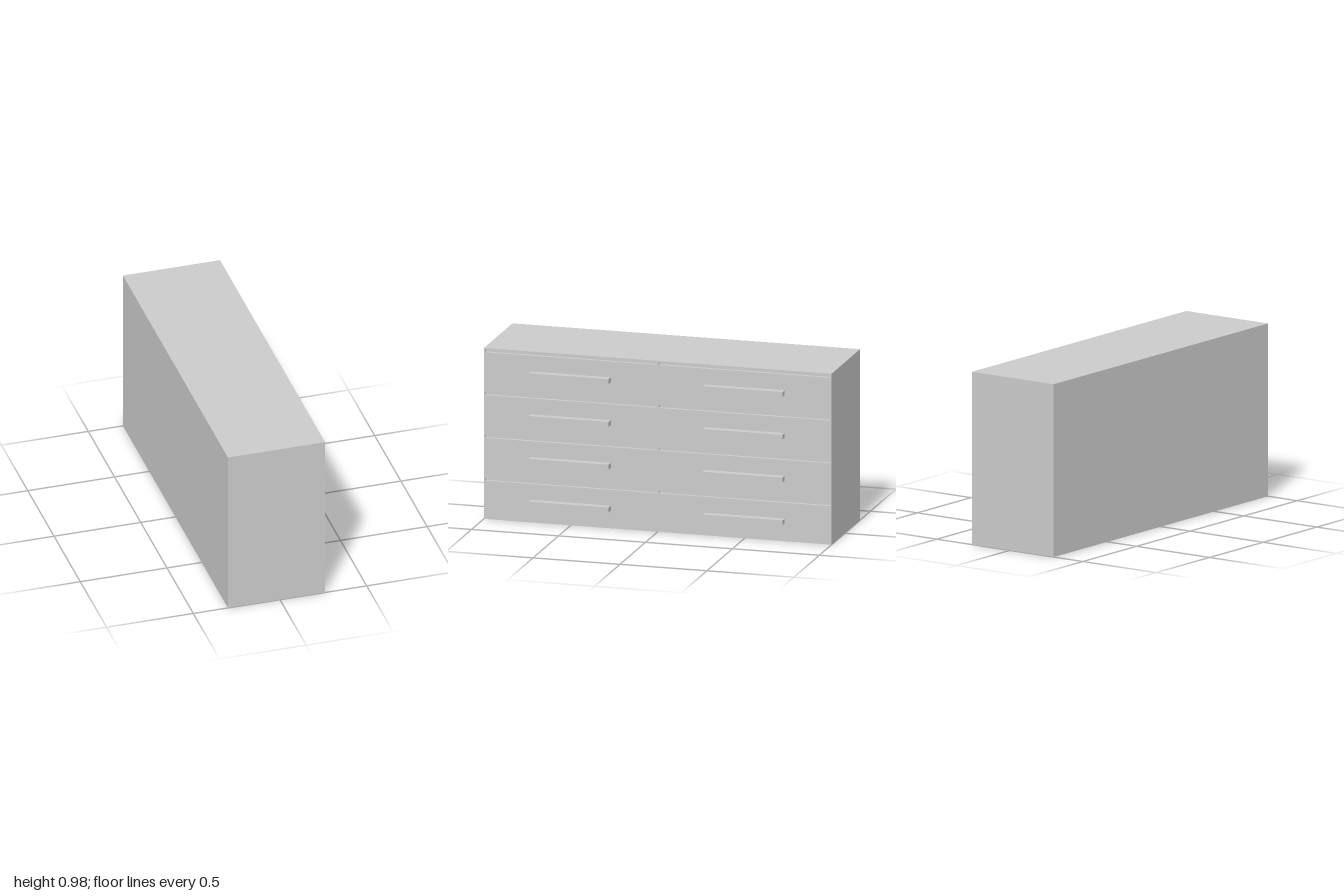
import * as THREE from 'three';

const H = 0.975, FRONT = 0.26, BACK = -0.3, GROOVE = 0.02;
const ROW = 0.244;                       // drawer pitch
const material = new THREE.MeshStandardMaterial({ color: 0xcccccc, flatShading: true });

function box(name, x0, x1, y0, y1, z0, z1) {
  const mesh = new THREE.Mesh(new THREE.BoxGeometry(x1 - x0, y1 - y0, z1 - z0), material);
  mesh.position.set((x0 + x1) / 2, (y0 + y1) / 2, (z0 + z1) / 2);
  mesh.name = name;
  return mesh;
}

// Closed outline with small chamfered corners
function slot(x0, x1, y0, y1, c) {
  return new THREE.Path([
    [x0 + c, y0], [x1 - c, y0], [x1, y0 + c], [x1, y1 - c],
    [x1 - c, y1], [x0 + c, y1], [x0, y1 - c], [x0, y0 + c],
  ].map(([x, y]) => new THREE.Vector2(x, y)));
}

// Front slab with a finger groove above every drawer
function drawerFronts() {
  const shape = new THREE.Shape([
    new THREE.Vector2(-1, 0), new THREE.Vector2(1, 0),
    new THREE.Vector2(1, H), new THREE.Vector2(-1, H),
  ]);
  for (let row = 0; row < 4; row++) {
    const y = 0.219 + row * ROW;
    shape.holes.push(slot(-0.993, -0.007, y, y + 0.016, 0.004));
    shape.holes.push(slot(0.007, 0.993, y, y + 0.016, 0.004));
  }
  const geometry = new THREE.ExtrudeGeometry(shape, { depth: GROOVE, bevelEnabled: false });
  geometry.rotateY(Math.PI / 2);
  const mesh = new THREE.Mesh(geometry, material);
  mesh.position.x = FRONT - GROOVE;
  mesh.name = 'drawerFronts';
  return mesh;
}

// Pull with a hollow underside: top plate, front lip and two end caps
function handle(y, z) {
  const g = new THREE.Group();
  const h = 0.028, half = 0.23, t = 0.006, d = 0.042;
  g.name = 'handle';
  g.add(
    box('handleTop', 0, d, h - t, h, -half, half),
    box('handleLip', d - t, d, 0, h - t, -half, half),
    box('handleEnd', 0, d - t, 0, h - t, -half, -half + t),
    box('handleEnd', 0, d - t, 0, h - t, half - t, half),
  );
  g.position.set(FRONT, y, z);
  return g;
}

export function createModel() {
  const model = new THREE.Group();
  model.name = 'chestOfDrawers';
  model.add(box('carcass', BACK, FRONT - GROOVE, 0, H, -1, 1), drawerFronts());
  for (let row = 0; row < 4; row++) {
    for (const z of [-0.5, 0.5]) model.add(handle(0.101 + row * ROW, z));
  }
  return model;
}
